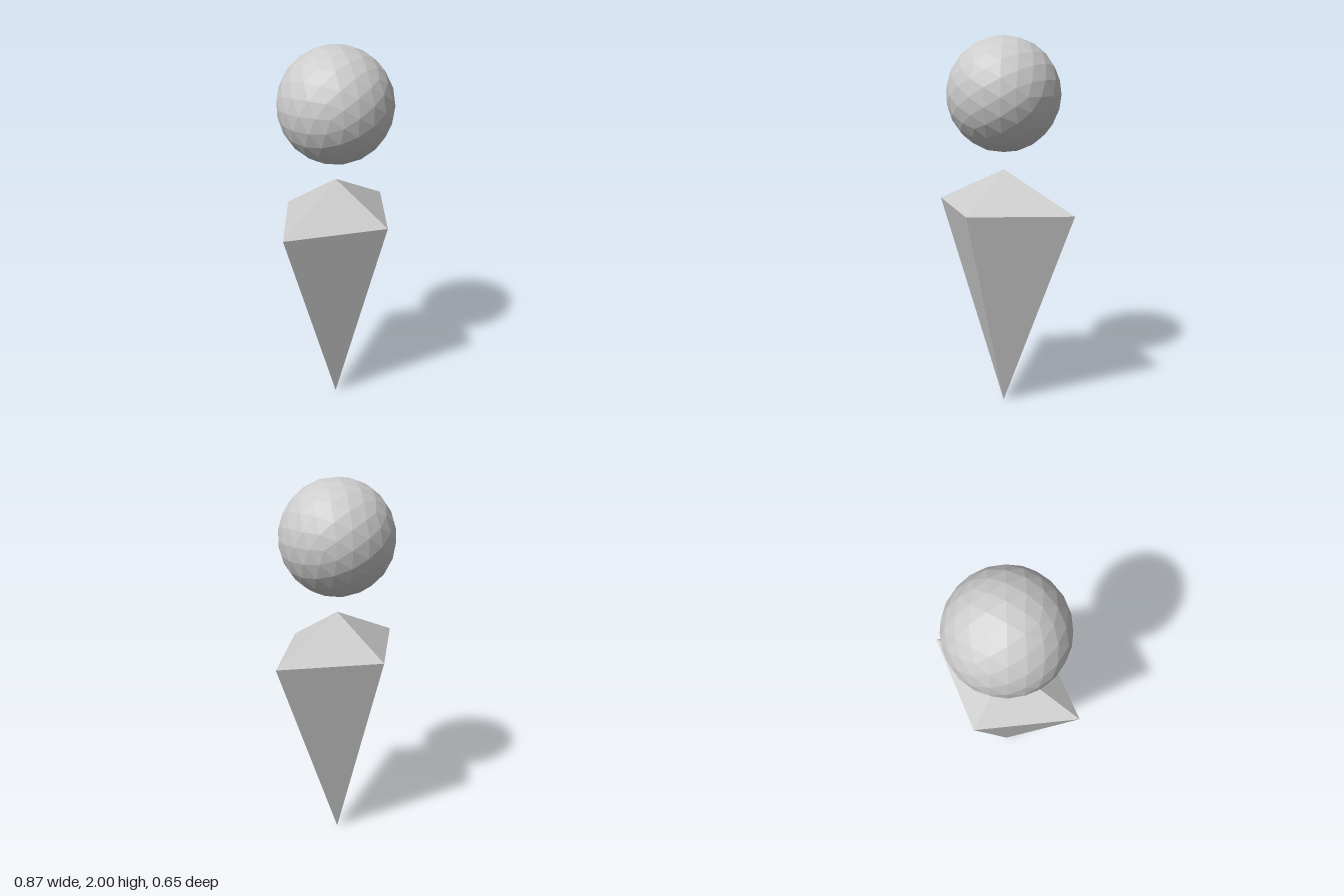
import * as THREE from 'three';

export function createModel() {
  const group = new THREE.Group();
  const grey = new THREE.MeshStandardMaterial({ color: 0xcccccc, flatShading: true });
  grey.name = 'light grey';

  // Four-sided body: long point below, shallow pyramid above, wider in x than z
  const halfWidth = 0.433, halfDepth = 0.325;
  const profile = [[0, 0], [1, 1.12], [0, 1.32]].map(([r, y]) => new THREE.Vector2(r, y));
  const bodyGeometry = new THREE.LatheGeometry(profile, 4);
  bodyGeometry.scale(halfWidth, 1, halfDepth);
  const body = new THREE.Mesh(bodyGeometry, grey);
  body.name = 'body';

  // Faceted ball floating above the body
  const radius = 0.295;
  const head = new THREE.Mesh(new THREE.IcosahedronGeometry(radius, 3), grey);
  head.name = 'head';
  head.position.y = 2 - radius;

  group.add(body, head);
  return group;
}
